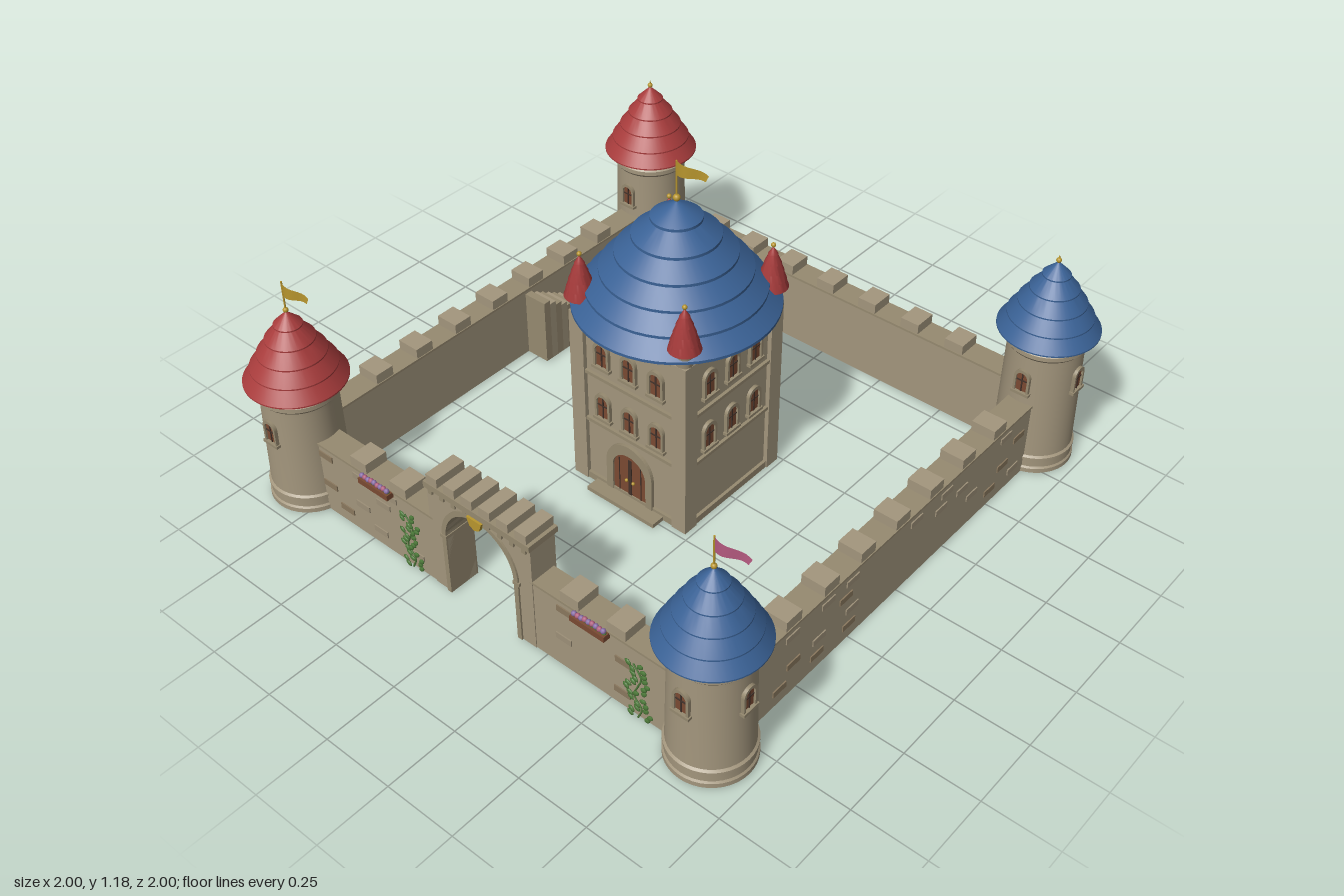
import * as THREE from 'three';
import { toCreasedNormals } from 'three/addons/utils/BufferGeometryUtils.js';

const mat = (color, side = THREE.FrontSide) => new THREE.MeshStandardMaterial({ color, side });
const STONE = mat(0xa3967d), TRIM = mat(0x968a70), BRICK = mat(0x8a785e), PALE = mat(0x9d9078);
const RED = mat(0xa83c3c), BLUE = mat(0x3a6296), GOLD = mat(0xb8962e), WOOD = mat(0x7a4a32), DARK = mat(0x43322a);
const GREEN = mat(0x4d7a3a, THREE.DoubleSide), PINK = mat(0xb0607f), VIOLET = mat(0x8a6fa8);
const FLAG_GOLD = mat(0xb8962e, THREE.DoubleSide), FLAG_PINK = mat(0xb55a80, THREE.DoubleSide);

let seed = 7;
const rand = () => (seed = (seed * 16807) % 2147483647) / 2147483647;

function add(parent, name, geo, material, x = 0, y = 0, z = 0) {
  const m = new THREE.Mesh(geo, material);
  m.name = name;
  m.position.set(x, y, z);
  parent.add(m);
  return m;
}
// box placed by its bottom centre
const box = (p, name, w, h, d, material, x, y, z) =>
  add(p, name, new THREE.BoxGeometry(w, h, d), material, x, y + h / 2, z);
const group = (p, name, x = 0, y = 0, z = 0, ry = 0) => {
  const g = new THREE.Group();
  g.name = name;
  g.position.set(x, y, z);
  g.rotation.y = ry;
  p.add(g);
  return g;
};
const lathe = (pts, seg = 40) =>
  toCreasedNormals(new THREE.LatheGeometry(pts.map(([x, y]) => new THREE.Vector2(x, y)), seg), 0.6);
const extrude = (shape, depth) =>
  new THREE.ExtrudeGeometry(shape, { depth, bevelEnabled: false, curveSegments: 14 });

// round-headed outline, standing on y = 0
function archPath(w, h, Path = THREE.Shape) {
  const r = w / 2, p = new Path();
  p.moveTo(-r, 0);
  p.lineTo(r, 0);
  p.lineTo(r, h - r);
  p.absarc(0, h - r, r, 0, Math.PI, false);
  p.closePath();
  return p;
}

// arched opening with frame, panel and centre bar, facing +z
function archedPanel(p, name, w, h, x, y, z, ry = 0) {
  const g = group(p, name, x, y, z, ry);
  const frame = archPath(w, h), inner = archPath(w * 0.72, h - w * 0.2, THREE.Path);
  inner.getPoints();
  frame.holes.push(inner);
  add(g, 'frame', extrude(frame, 0.012), TRIM);
  add(g, 'panel', extrude(archPath(w * 0.74, h - w * 0.18), 0.005), WOOD);
  box(g, 'centreBar', w * 0.07, h - w * 0.3, 0.004, DARK, 0, 0, 0.006);
  return g;
}
function windowAt(p, x, y, z, ry, w = 0.062, h = 0.1) {
  const g = archedPanel(p, 'window', w, h, x, y, z, ry);
  box(g, 'sill', w * 1.15, 0.01, 0.018, TRIM, 0, -0.006, 0.007);
  box(g, 'crossBar', w * 0.7, 0.004, 0.004, DARK, 0, h * 0.5, 0.006);
}

// tiered conical roof with a closed underside
function roof(p, name, r, y, h, tiers, material, power = 0.8) {
  const pts = [[0, y], [r, y]], f = (t) => r * Math.pow(1 - t, power);
  for (let i = 0; i < tiers; i++) {
    const a = i / tiers, b = (i + 1) / tiers;
    pts.push([f(a), y + h * a + r * 0.03]);
    pts.push([Math.max(0, f(b) - r * 0.03), y + h * b]);
    if (i < tiers - 1) pts.push([f(b), y + h * b]);
  }
  add(p, name, lathe(pts, 48), material);
}

function finial(p, y, r, pole) {
  add(p, 'finial', new THREE.SphereGeometry(r, 12, 8), GOLD, 0, y, 0);
  if (pole) add(p, 'flagPole', new THREE.CylinderGeometry(0.003, 0.003, pole, 8), GOLD, 0, y + pole / 2, 0);
}
// tapering, waving pennant
function flag(p, y, material) {
  const geo = new THREE.PlaneGeometry(0.12, 1, 10, 1), pos = geo.attributes.position;
  for (let i = 0; i < pos.count; i++) {
    const x = pos.getX(i) + 0.06, top = pos.getY(i) > 0;
    pos.setXYZ(i, top ? x : x * 0.9, top ? -0.05 * x : -0.05 + 0.16 * x, 0.007 * Math.sin(x * 50));
  }
  geo.computeVertexNormals();
  add(p, 'flag', geo, material, 0, y, 0);
}

function tower(p, x, z) {
  const front = z > 0, H = front ? 0.45 : 0.5;
  const g = group(p, 'cornerTower', x, 0, z);
  add(g, 'towerBody', lathe([
    [0, 0], [0.137, 0], [0.137, 0.016], [0.132, 0.022], [0.132, 0.05], [0.136, 0.053], [0.136, 0.06],
    [0.129, 0.066], [0.123, H - 0.07], [0.123, H - 0.055], [0.131, H - 0.045], [0.131, H - 0.03],
    [0.126, H - 0.025], [0.135, H], [0, H]]), STONE);
  roof(g, 'towerRoof', 0.165, H, 0.25, 5, x < 0 ? RED : BLUE);
  finial(g, H + 0.254, 0.009, front ? 0.105 : 0);
  add(g, 'finialTip', new THREE.ConeGeometry(0.005, 0.02, 8), GOLD, 0, H + 0.265, 0);
  if (front) flag(g, 0.805, x < 0 ? FLAG_GOLD : FLAG_PINK);
  windowAt(g, 0, H - 0.19, 0.121, 0, 0.056, 0.088);
  if (x > 0) windowAt(g, 0.121, H - 0.19, 0, Math.PI / 2, 0.056, 0.088);
}

// wall along local x, outer face toward +z, with merlons and raised bricks
function wall(p, name, x0, x1, merlons, ry) {
  const g = group(p, name, 0, 0, 0, ry), mid = (x0 + x1) / 2;
  box(g, 'wallBody', x1 - x0, 0.262, 0.084, STONE, mid, 0, 0.835);
  box(g, 'wallCap', x1 - x0, 0.008, 0.09, TRIM, mid, 0.26, 0.835);
  for (const x of merlons) box(g, 'merlon', 0.07, 0.036, 0.084, STONE, x, 0.268, 0.835);
  [0.045, 0.105, 0.17, 0.22].forEach((y, row) => {
    for (let x = x0 + 0.06 + (row % 2) * 0.05; x < x1 - 0.05; x += 0.155) {
      const bx = x + (rand() - 0.5) * 0.05;
      if (rand() < 0.72 && Math.abs(bx) < 0.69)
        box(g, 'brick', 0.06, 0.022, 0.006, rand() < 0.5 ? BRICK : PALE, bx, y, 0.878);
    }
  });
}

function gatehouse(p) {
  const g = group(p, 'gatehouse', 0, 0, 0.83);
  const s = new THREE.Shape(), r = 0.14, spring = 0.235;
  s.moveTo(-0.21, 0);
  s.lineTo(-r, 0);
  s.lineTo(-r, spring);
  s.absarc(0, spring, r, Math.PI, 0, true);
  s.lineTo(r, 0);
  s.lineTo(0.21, 0);
  s.lineTo(0.21, 0.395);
  s.lineTo(-0.21, 0.395);
  add(g, 'gateArch', extrude(s, 0.1), STONE, 0, 0, -0.05);
  const ring = new THREE.Shape();
  ring.absarc(0, 0, 0.157, 0, Math.PI, false);
  ring.absarc(0, 0, r, Math.PI, 0, true);
  add(g, 'archMoulding', extrude(ring, 0.112), TRIM, 0, spring, -0.056);
  for (const side of [-1, 1]) {
    box(g, 'archJamb', 0.017, spring, 0.112, TRIM, side * 0.1485, 0, 0);
    box(g, 'jambCapital', 0.026, 0.012, 0.116, TRIM, side * 0.15, spring - 0.012, 0);
  }
  box(g, 'gateParapet', 0.43, 0.022, 0.118, TRIM, 0, 0.392, 0);
  for (let i = 0; i < 6; i++) box(g, 'gateMerlon', 0.045, 0.032, 0.112, STONE, -0.18 + i * 0.072, 0.414, 0);
  for (let i = 0; i < 9; i++) box(g, 'corbel', 0.016, 0.02, 0.114, TRIM, -0.19 + i * 0.0475, 0.374, 0);
  const key = new THREE.Shape([[-0.03, 0.39], [-0.02, 0.36], [0, 0.35], [0.02, 0.36], [0.03, 0.39]]
    .map(([x, y]) => new THREE.Vector2(x, y)));
  add(g, 'keystone', extrude(key, 0.012), GOLD, 0, 0, 0.053);
}

function keep(p) {
  const g = group(p, 'keep');
  box(g, 'keepBody', 0.44, 0.655, 0.44, STONE, 0, 0, 0);
  for (const [y, h] of [[0, 0.025], [0.245, 0.012], [0.435, 0.012], [0.64, 0.015]])
    box(g, 'stringCourse', 0.462, h, 0.462, TRIM, 0, y, 0);
  for (const x of [-0.207, 0.207]) for (const z of [-0.207, 0.207]) {
    box(g, 'cornerPilaster', 0.056, 0.655, 0.056, STONE, x, 0, z);
    const t = group(g, 'cornerTurret', x, 0, z);
    add(t, 'turretBody', lathe([[0, 0.65], [0.027, 0.65], [0.033, 0.69], [0.042, 0.715], [0, 0.715]], 24), STONE);
    roof(t, 'turretRoof', 0.052, 0.71, 0.145, 5, RED, 0.72);
    finial(t, 0.86, 0.008);
  }
  // three window bays per storey on the front and both sides
  for (const ry of [0, Math.PI / 2, -Math.PI / 2]) {
    const face = group(g, 'windowBays', 0, 0, 0, ry);
    for (const y of [0.28, 0.485]) for (const x of [-0.11, 0, 0.11]) windowAt(face, x, y, 0.22, 0);
  }
  const door = archedPanel(g, 'door', 0.19, 0.215, 0, 0.01, 0.222);
  for (const x of [-0.045, 0.045]) box(door, 'doorSeam', 0.003, 0.15, 0.004, DARK, x, 0, 0.005);
  for (const x of [-0.014, 0.014])
    add(door, 'doorKnob', new THREE.SphereGeometry(0.006, 10, 8), GOLD, x, 0.07, 0.008);
  box(g, 'doorStep', 0.28, 0.015, 0.06, TRIM, 0, 0, 0.25);
  roof(g, 'keepRoof', 0.327, 0.675, 0.36, 6, BLUE, 0.78);
  finial(g, 1.045, 0.012, 0.128);
  flag(g, 1.172, FLAG_GOLD);
}

function stairs(p) {
  const g = group(p, 'wallStairs'), n = 15, d = 0.42 / n;
  for (let i = 0; i < n; i++)
    box(g, 'step', 0.09, 0.25 * (i + 1) / n, d, i % 2 ? STONE : TRIM, -0.747, 0, -0.54 + (i + 0.5) * d);
}

function flowerBox(p, x) {
  const g = group(p, 'flowerBox', x, 0.245, 0.89);
  box(g, 'planter', 0.13, 0.02, 0.026, WOOD, 0, 0, 0);
  for (let i = 0; i < 9; i++) {
    const fx = -0.055 + i * 0.01375;
    add(g, 'leaf', new THREE.SphereGeometry(0.007, 8, 6), GREEN, fx, 0.021, 0);
    add(g, 'flower', new THREE.SphereGeometry(0.009, 8, 6), i % 2 ? PINK : VIOLET, fx, 0.027 + rand() * 0.008, 0.003);
  }
}

function vine(p, x) {
  const g = group(p, 'vine', x, 0, 0.883);
  const stem = new THREE.CatmullRomCurve3([0, 1, 2, 3, 4, 5].map((i) =>
    new THREE.Vector3(0.016 * Math.sin(i * 2.1), i * 0.042, 0)));
  add(g, 'stem', new THREE.TubeGeometry(stem, 24, 0.003, 6), GREEN);
  for (let i = 0; i < 26; i++) {
    const q = stem.getPoint(i / 25), side = i % 2 ? 1 : -1;
    const leaf = add(g, 'leaf', new THREE.SphereGeometry(0.012, 8, 6), GREEN,
      q.x + side * (0.008 + rand() * 0.028), q.y + 0.005, 0.002);
    leaf.scale.set(1.1, 0.7, 0.35);
    leaf.rotation.z = side * (0.3 + rand() * 0.6);
  }
}

export function createModel() {
  const castle = new THREE.Group();
  castle.name = 'castle';
  for (const x of [-0.835, 0.835]) for (const z of [-0.835, 0.835]) tower(castle, x, z);
  const full = [-3, -2, -1, 0, 1, 2, 3].map((i) => i * 0.176);
  wall(castle, 'backWall', -0.8, 0.8, full, Math.PI);
  wall(castle, 'leftWall', -0.8, 0.8, full, Math.PI / 2);
  wall(castle, 'rightWall', -0.8, 0.8, full, -Math.PI / 2);
  wall(castle, 'frontWallRight', -0.8, -0.2, full.slice(0, 2), 0);
  wall(castle, 'frontWallLeft', 0.2, 0.8, full.slice(5), 0);
  gatehouse(castle);
  keep(castle);
  stairs(castle);
  for (const x of [-0.44, 0.44]) flowerBox(castle, x);
  for (const x of [-0.31, 0.61]) vine(castle, x);
  return castle;
}
